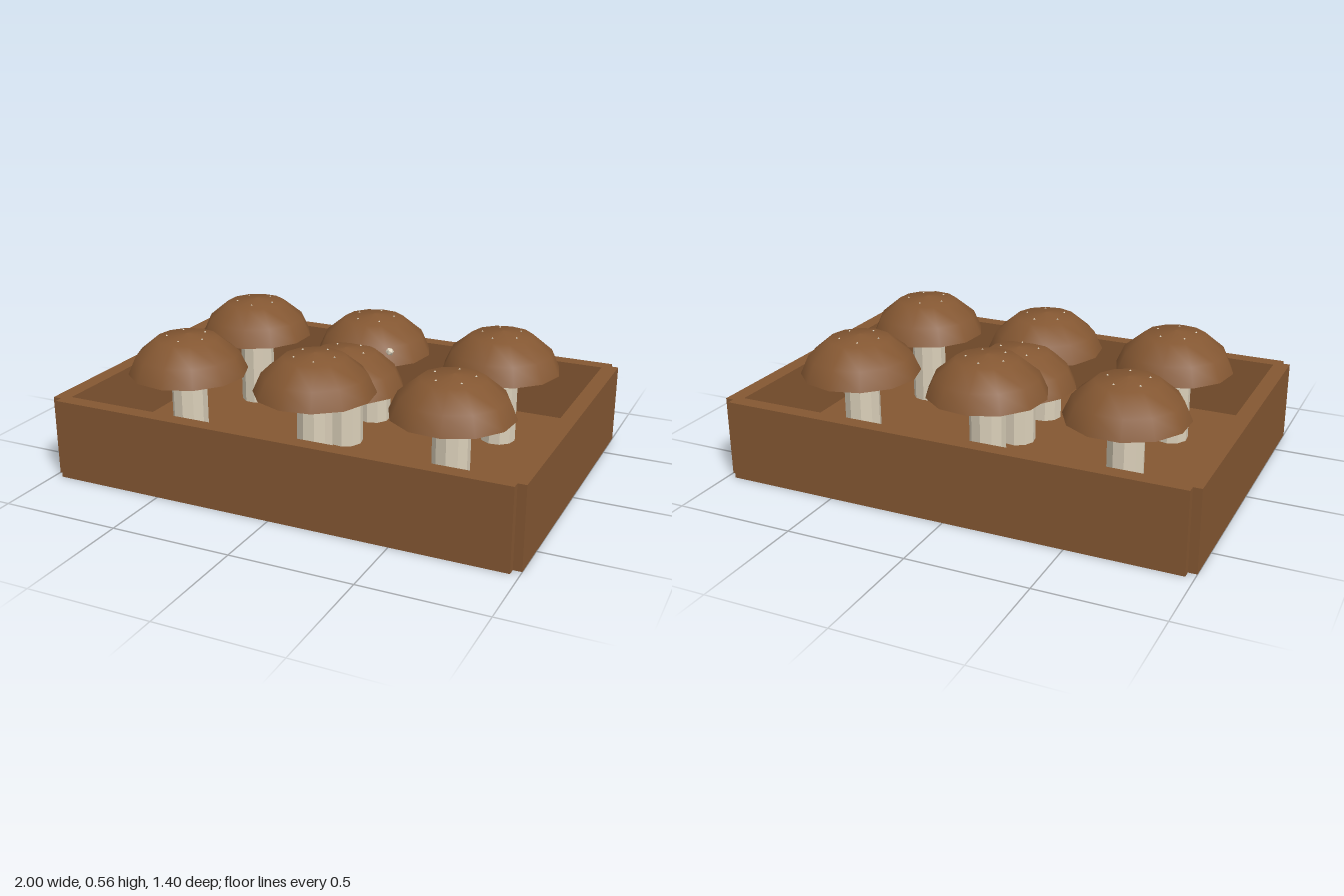
import * as THREE from 'three';

const brown = new THREE.MeshStandardMaterial({ color: 0x845732 });
brown.name = 'brown';
const cream = new THREE.MeshStandardMaterial({ color: 0xdacfb9 });
cream.name = 'cream';

const FLOOR = 0.07;

function add(parent, name, geometry, material, x, y, z) {
  const mesh = new THREE.Mesh(geometry, material);
  mesh.name = name;
  mesh.position.set(x, y, z);
  parent.add(mesh);
  return mesh;
}

// Faceted outline with smooth dome shading; the underside is a separate flat disc
const domeGeometry = new THREE.LatheGeometry(
  [[0.25, 0], [0.215, 0.077], [0.13, 0.147], [0, 0.166]].map(([r, y]) => new THREE.Vector2(r, y)), 12);
const undersideGeometry = new THREE.CircleGeometry(0.25, 12).rotateX(Math.PI / 2).rotateY(Math.PI / 2);
const speckGeometry = new THREE.OctahedronGeometry(0.005);

function mushroom(x, z, capY, turn) {
  const group = new THREE.Group();
  group.name = 'mushroom';
  group.position.set(x, 0, z);
  group.rotation.y = turn;
  add(group, 'cap', domeGeometry, brown, 0, capY, 0);
  add(group, 'capUnderside', undersideGeometry, brown, 0, capY, 0);
  const height = capY - FLOOR + 0.02;
  const stem = new THREE.CylinderGeometry(0.075, 0.075, height, 10).toNonIndexed();
  stem.computeVertexNormals();
  add(group, 'stem', stem, cream, 0, FLOOR + height / 2 - 0.01, 0);
  // Ring of tiny pale specks
  for (let i = 0; i < 5; i++) {
    const a = (i / 5) * Math.PI * 2 + 0.3;
    add(group, 'speck', speckGeometry, cream, 0.085 * Math.cos(a), capY + 0.154, 0.085 * Math.sin(a));
  }
  return group;
}

export function createModel() {
  const model = new THREE.Group();
  model.name = 'mushroomCrate';

  // Crate: floor and four walls with notched corners
  const crate = new THREE.Group();
  crate.name = 'crate';
  model.add(crate);
  add(crate, 'floor', new THREE.BoxGeometry(1.93, FLOOR, 1.34), brown, 0, FLOOR / 2, 0);
  for (const s of [-1, 1]) {
    add(crate, 'longWall', new THREE.BoxGeometry(1.93, 0.336, 0.063), brown, 0, 0.168, s * 0.6705);
    add(crate, 'endWall', new THREE.BoxGeometry(0.066, 0.336, 1.34), brown, s * 0.967, 0.168, 0);
  }

  // Two rows of three mushrooms, and a lower one in the middle
  [-0.59, 0, 0.585].forEach((x, i) => {
    model.add(mushroom(x, -0.297, 0.39, 0.25 + i * 0.4));
    model.add(mushroom(x, 0.29, 0.39, 0.1 + i * 0.3));
  });
  model.add(mushroom(0, 0, 0.324, 0.2));

  // Small pale crumb between the middle caps
  add(model, 'crumb', new THREE.IcosahedronGeometry(0.018, 0), cream, 0.15, 0.455, -0.12);
  return model;
}
